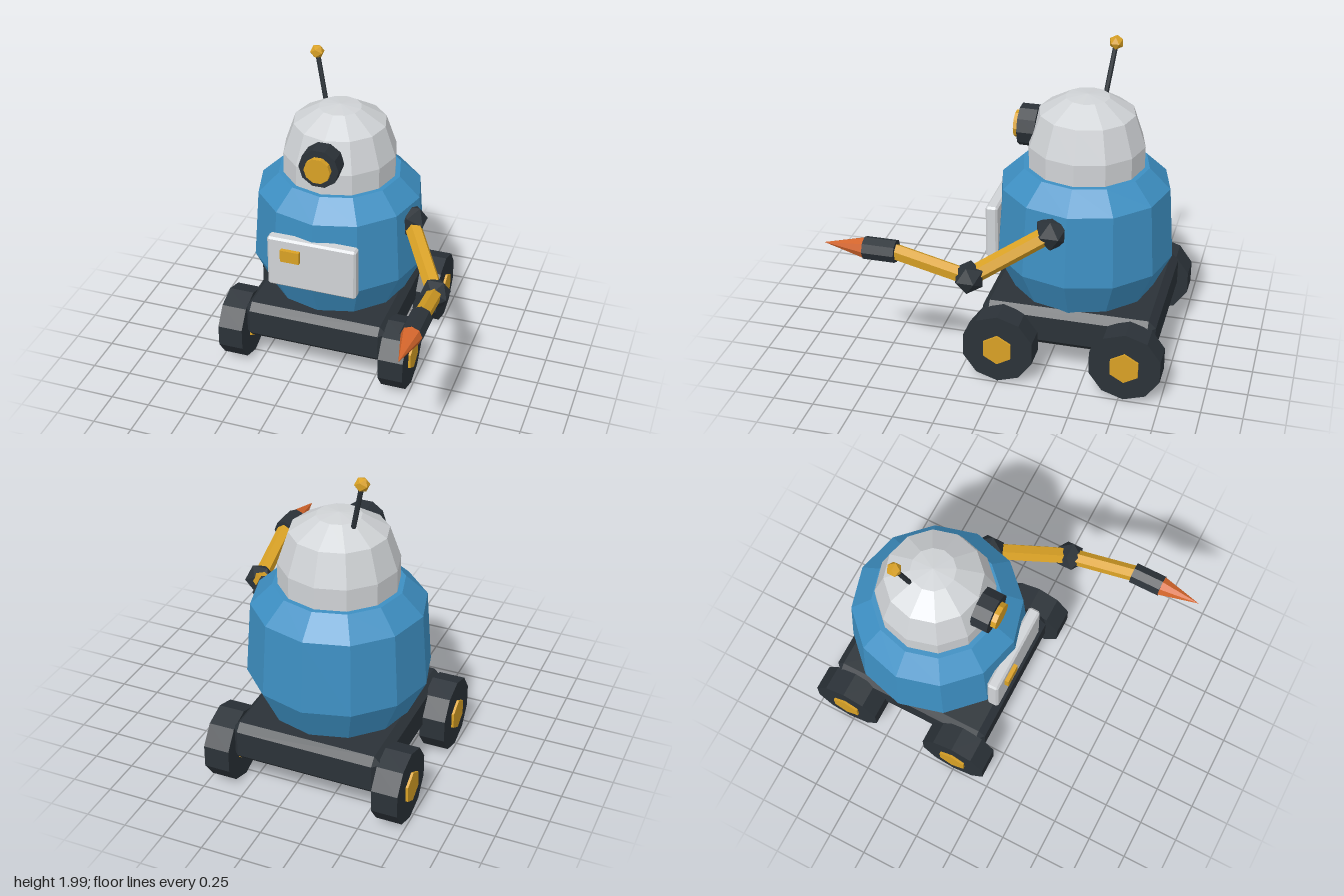
import * as THREE from 'three';
import { ConvexGeometry } from 'three/addons/geometries/ConvexGeometry.js';

const CX = -0.127, CZ = -0.395; // centre of the rover body

function paint(name, color) {
  const m = new THREE.MeshStandardMaterial({ color, flatShading: true });
  m.name = name;
  return m;
}

// Box with all edges cut by c
function chamferBox(w, h, d, c) {
  const pts = [];
  for (const x of [-1, 1]) for (const y of [-1, 1]) for (const z of [-1, 1]) {
    for (let full = 0; full < 3; full++) {
      const cut = (axis) => (axis === full ? 0 : c);
      pts.push(new THREE.Vector3(x * (w / 2 - cut(0)), y * (h / 2 - cut(1)), z * (d / 2 - cut(2))));
    }
  }
  return new ConvexGeometry(pts);
}

function lathe(profile) {
  return new THREE.LatheGeometry(profile.map(([r, y]) => new THREE.Vector2(r, y)), 12);
}

export function createModel() {
  const model = new THREE.Group();
  model.name = 'rover';
  const blue = paint('blue', 0x3d8fc2);
  const grey = paint('lightGrey', 0xd0d3d6);
  const dark = paint('darkGrey', 0x2b3238);
  const gold = paint('gold', 0xd9a125);
  const orange = paint('orange', 0xd2642a);

  function add(name, geometry, material, x = 0, y = 0, z = 0, parent = model) {
    const mesh = new THREE.Mesh(geometry, material);
    mesh.name = name;
    mesh.position.set(x, y, z);
    parent.add(mesh);
    return mesh;
  }

  // Cylinder running from point a to point b
  function rod(name, a, b, rA, rB, sides, material, parent = model) {
    const from = new THREE.Vector3(...a), to = new THREE.Vector3(...b);
    const dir = to.clone().sub(from);
    const mid = from.clone().add(to).multiplyScalar(0.5);
    const mesh = add(name, new THREE.CylinderGeometry(rB, rA, dir.length(), sides), material, mid.x, mid.y, mid.z, parent);
    mesh.quaternion.setFromUnitVectors(new THREE.Vector3(0, 1, 0), dir.normalize());
    return mesh;
  }

  // Chassis
  add('chassis', chamferBox(0.94, 0.255, 1.07, 0.045), dark, CX, 0.327, CZ);

  // Four wheels with hubs showing on both faces
  const wheelPart = (r, width, sides) =>
    new THREE.CylinderGeometry(r, r, width, sides).rotateY(Math.PI / 2).rotateZ(Math.PI / 2);
  for (const side of [-1, 1]) {
    for (const z of [0, -0.78]) {
      const wheel = new THREE.Group();
      wheel.name = (z === 0 ? 'front' : 'rear') + (side > 0 ? 'Left' : 'Right') + 'Wheel';
      wheel.position.set(CX + side * 0.532, 0.228, z);
      add('tyre', wheelPart(0.226, 0.16, 10), dark, 0, 0, 0, wheel);
      add('hub', wheelPart(0.098, 0.19, 6), gold, 0, 0, 0, wheel);
      model.add(wheel);
    }
  }

  // Barrel body and domed head
  add('body', lathe([[0, 0.44], [0.435, 0.44], [0.55, 0.68], [0.518, 1.13], [0.388, 1.255], [0, 1.255]]), blue, CX, 0, CZ);
  add('head', lathe([[0.357, 1.25], [0.357, 1.39], [0.29, 1.585], [0.133, 1.68], [0, 1.695]]), grey, CX, 0, CZ);

  // Chest panel and its button
  add('chestPanel', chamferBox(0.57, 0.345, 0.075, 0.013), grey, CX, 0.84, 0.122);
  add('panelButton', new THREE.BoxGeometry(0.122, 0.08, 0.05), gold, -0.257, 0.908, 0.16);

  // Single eye, corners pointing sideways
  const eyePart = (r, depth) =>
    new THREE.CylinderGeometry(r, r, depth, 10).rotateY(Math.PI / 2).rotateX(Math.PI / 2);
  add('eyeHousing', eyePart(0.127, 0.11), dark, CX, 1.455, -0.047);
  add('eyeLens', eyePart(0.083, 0.06), gold, CX, 1.455, 0.01);

  // Antenna
  rod('antennaRod', [-0.241, 1.62, -0.476], [-0.317, 1.958, -0.52], 0.015, 0.015, 6, dark);
  add('antennaTip', new THREE.IcosahedronGeometry(0.045, 0), gold, -0.317, 1.957, -0.52);

  // Arm on the left side
  const arm = new THREE.Group();
  arm.name = 'arm';
  model.add(arm);
  const shoulder = [0.365, 1.015, -0.305], elbow = [0.647, 0.81, 0.122], wrist = [0.678, 0.937, 0.56];
  add('shoulderJoint', new THREE.IcosahedronGeometry(0.108, 0), dark, ...shoulder, arm);
  rod('upperArm', shoulder, elbow, 0.055, 0.055, 6, gold, arm);
  add('elbowJoint', new THREE.IcosahedronGeometry(0.098, 0), dark, ...elbow, arm);
  rod('forearm', elbow, wrist, 0.05, 0.05, 6, gold, arm);
  rod('toolSocket', [0.678, 0.937, 0.545], [0.678, 0.937, 0.738], 0.069, 0.069, 8, dark, arm);
  rod('toolPoint', [0.678, 0.937, 0.735], [0.678, 0.937, 0.99], 0.064, 0, 8, orange, arm);

  return model;
}
